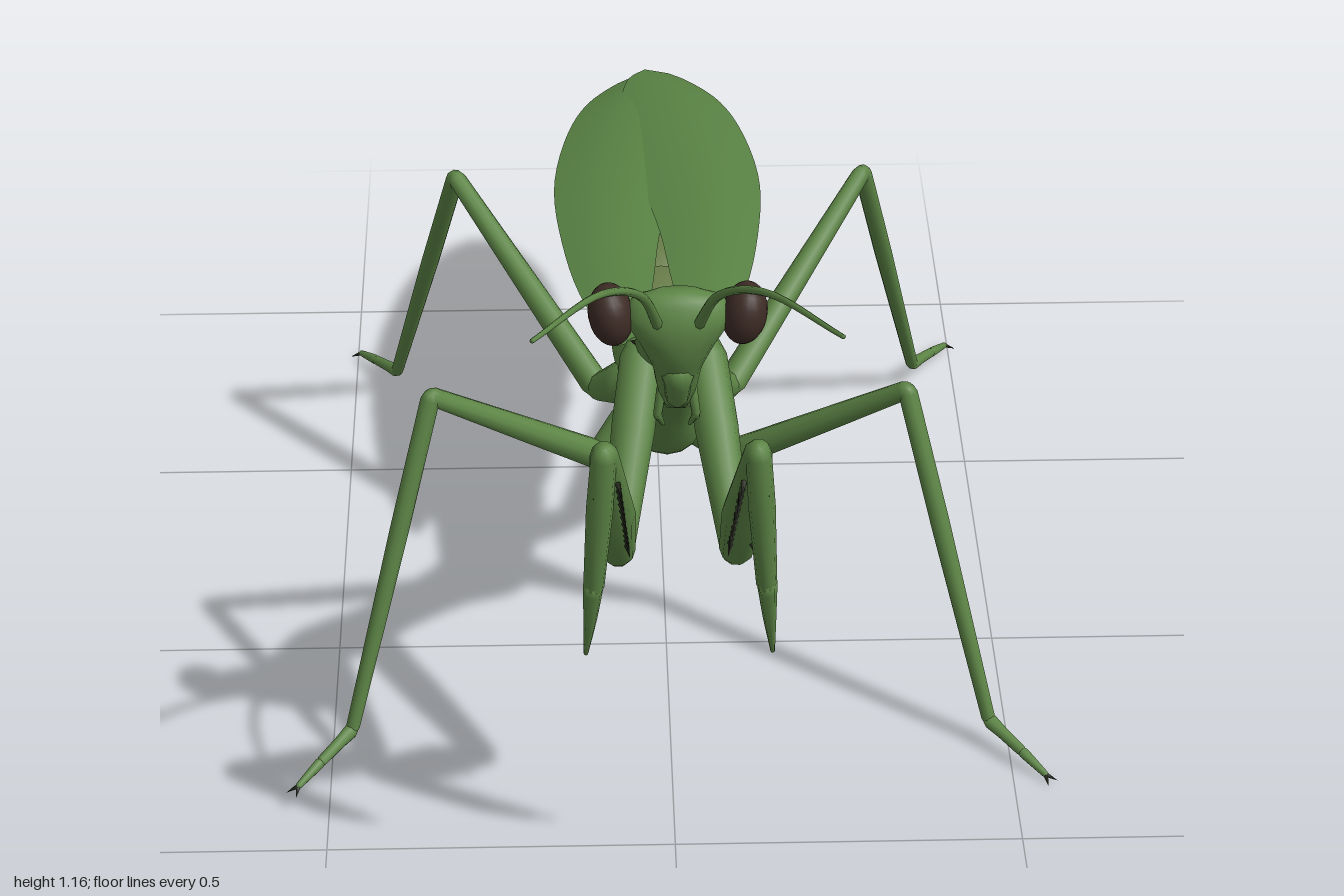
import * as THREE from 'three';

const mat = (name, color, side = THREE.FrontSide) => {
  const m = new THREE.MeshStandardMaterial({ color, side });
  m.name = name;
  return m;
};
const V = (x, y, z) => new THREE.Vector3(x, y, z);

// Closed tube through rings [x, y, z, halfWidth, halfHeight]
function sweep(rings, sides = 12, smooth = 0) {
  if (smooth) {
    const pos = new THREE.CatmullRomCurve3(rings.map(r => V(r[0], r[1], r[2])));
    const rad = new THREE.CatmullRomCurve3(rings.map(r => V(r[3], r[4] ?? r[3], 0)));
    rings = Array.from({ length: smooth + 1 }, (_, i) => {
      const p = pos.getPoint(i / smooth), q = rad.getPoint(i / smooth);
      return [p.x, p.y, p.z, Math.max(q.x, 0), Math.max(q.y, 0)];
    });
  }
  const n = rings.length, c = rings.map(r => V(r[0], r[1], r[2])), pts = [], idx = [];
  const ring = (p, s, u, a, b) => {
    for (let j = 0; j < sides; j++) {
      const t = j / sides * Math.PI * 2;
      const q = p.clone().addScaledVector(s, Math.cos(t) * a).addScaledVector(u, Math.sin(t) * b);
      pts.push(q.x, q.y, q.z);
    }
  };
  for (let i = 0; i < n; i++) {
    const t = c[Math.min(i + 1, n - 1)].clone().sub(c[Math.max(i - 1, 0)]).normalize();
    const s = V(1, 0, 0).addScaledVector(t, -t.x).normalize();
    ring(c[i], s, t.clone().cross(s), rings[i][3], rings[i][4] ?? rings[i][3]);
  }
  for (let i = 0; i < n - 1; i++) for (let j = 0; j < sides; j++) {
    const a = i * sides + j, b = i * sides + (j + 1) % sides;
    idx.push(a, b, a + sides, b, b + sides, a + sides);
  }
  // end caps
  for (const [i, flip] of [[0, true], [n - 1, false]]) {
    const k = pts.length / 3;
    pts.push(c[i].x, c[i].y, c[i].z);
    for (let j = 0; j < sides; j++) {
      const a = i * sides + j, b = i * sides + (j + 1) % sides;
      flip ? idx.push(k, b, a) : idx.push(k, a, b);
    }
  }
  const g = new THREE.BufferGeometry();
  g.setAttribute('position', new THREE.Float32BufferAttribute(pts, 3));
  g.setIndex(idx);
  g.computeVertexNormals();
  return g;
}

// Limb segment with rounded ends; mid swells the middle
function rod(a, b, r0, r1, mid = (r0 + r1) / 2, sides = 10) {
  const A = V(...a), B = V(...b), L = A.distanceTo(B), e0 = r0 / L, e1 = r1 / L;
  return sweep([[-e0 * 0.6, r0 * 0.3], [-e0 * 0.3, r0 * 0.75], [e0 * 0.4, r0], [0.4, mid],
    [1 - e1 * 0.4, r1], [1 + e1 * 0.3, r1 * 0.75], [1 + e1 * 0.6, r1 * 0.3]]
    .map(([t, r]) => [...V().lerpVectors(A, B, t).toArray(), r]), sides);
}

export function createModel() {
  const root = new THREE.Group();
  root.name = 'mantis';
  const green = mat('leafGreen', 0x5d8546);
  const wingGreen = mat('wingGreen', 0x598244, THREE.DoubleSide);
  const belly = mat('oliveBelly', 0x6b7f4b);
  const eye = mat('darkBrown', 0x3d2b25);
  const dark = mat('spineBlack', 0x24281b);
  const add = (name, geo, m, parent = root) => {
    const mesh = new THREE.Mesh(geo, m);
    mesh.name = name;
    parent.add(mesh);
    return mesh;
  };
  const spike = (name, base, dir, r, len, parent) => {
    const m = add(name, new THREE.ConeGeometry(r, len, 5), dark, parent);
    const d = V(...dir).normalize();
    m.quaternion.setFromUnitVectors(V(0, 1, 0), d);
    m.position.set(...base).addScaledVector(d, len / 2);
  };

  // Long raised thorax with a flare at the front-leg joints
  add('thorax', sweep([[0, 0.40, -0.01, 0.045, 0.04], [0, 0.435, 0.03, 0.055, 0.055], [0, 0.53, 0.12, 0.042, 0.042],
    [0, 0.66, 0.26, 0.042, 0.034], [0, 0.755, 0.36, 0.055, 0.04], [0, 0.80, 0.405, 0.052, 0.04],
    [0, 0.86, 0.47, 0.033, 0.032], [0, 0.90, 0.52, 0.028, 0.028], [0, 0.925, 0.56, 0.025, 0.025]], 16, 32), green);
  add('rearThorax', sweep([[0, 0.43, 0.06, 0.03, 0.03], [0, 0.435, 0.03, 0.055, 0.06], [0, 0.435, -0.06, 0.066, 0.066],
    [0, 0.43, -0.18, 0.078, 0.067], [0, 0.425, -0.22, 0.06, 0.05]], 16, 16), green);

  // Abdomen of overlapping plates
  const core = new THREE.CatmullRomCurve3([V(0.435, 0.066, 0.07), V(0.425, 0.085, 0.066), V(0.41, 0.105, 0.07),
    V(0.39, 0.104, 0.068), V(0.375, 0.08, 0.054), V(0.37, 0.03, 0.026)]);
  const SEG = 8;
  for (let i = 0; i < SEG; i++) {
    const at = (u, k) => {
      const q = core.getPoint(u);
      return [0, q.x, -0.1 - u * 0.86, q.y * k, q.z * k];
    };
    const u0 = i / SEG, du = 1 / SEG;
    add('abdomenSegment', sweep([at(u0, 0.92), at(u0 + du * 0.5, 0.97), at(u0 + du, 1.02),
      at(Math.min(u0 + du * 1.05, 1), 0.85)], 20), belly);
  }
  add('abdomenTip', sweep([[0, 0.37, -0.94, 0.036, 0.03], [0, 0.368, -0.965, 0.022, 0.022], [0, 0.367, -0.975, 0.008, 0.01]], 12), belly);

  // Head: broad crown narrowing to the mouth
  add('head', sweep([[0, 0.98, 0.575, 0.025, 0.012], [0, 0.968, 0.578, 0.06, 0.028], [0, 0.94, 0.578, 0.07, 0.04],
    [0, 0.90, 0.572, 0.05, 0.042], [0, 0.86, 0.562, 0.034, 0.034], [0, 0.82, 0.548, 0.028, 0.026],
    [0, 0.785, 0.533, 0.02, 0.018], [0, 0.77, 0.527, 0.006, 0.006]], 18, 24), green);
  add('mouthPlate', rod([0, 0.86, 0.588], [0, 0.80, 0.56], 0.022, 0.016), green);

  for (const s of [1, -1]) {
    const side = new THREE.Group();
    side.name = s > 0 ? 'leftSide' : 'rightSide';
    root.add(side);
    const m = p => [p[0] * s, p[1], p[2]];
    const limb = (name, a, b, r0, r1, mid, mt = green) => add(name, rod(m(a), m(b), r0, r1, mid), mt, side);

    // Eyes, antennae, mouthparts
    const e = add('eye', new THREE.SphereGeometry(1, 20, 14), eye, side);
    e.scale.set(0.03, 0.044, 0.036);
    e.position.set(0.088 * s, 0.943, 0.578);
    e.rotation.z = -0.15 * s;
    add('antenna', sweep([[0.025, 0.935, 0.60, 0.008], [0.05, 1.03, 0.68, 0.006], [0.105, 1.11, 0.81, 0.005],
      [0.188, 1.16, 1.0, 0.003]].map(p => [...m(p), p[3]]), 8, 20), green, side);
    limb('palp', [0.02, 0.81, 0.545], [0.026, 0.765, 0.545], 0.007, 0.006);
    limb('palpTip', [0.026, 0.765, 0.545], [0.018, 0.735, 0.52], 0.006, 0.003);
    limb('jaw', [0.012, 0.80, 0.54], [0.01, 0.765, 0.52], 0.01, 0.006);

    // Grasping front leg
    limb('frontCoxa', [0.042, 0.765, 0.375], [0.08, 0.56, 0.565], 0.03, 0.022, 0.03);
    limb('frontFemur', [0.08, 0.56, 0.57], [0.1, 0.835, 0.745], 0.024, 0.019, 0.031);
    limb('frontTibia', [0.1, 0.835, 0.748], [0.115, 0.60, 0.715], 0.017, 0.014, 0.018);
    add('frontClaw', sweep([[0.115, 0.61, 0.717, 0.014], [0.12, 0.54, 0.70, 0.009], [0.126, 0.47, 0.678, 0.003]]
      .map(p => [...m(p), p[3]]), 8, 8), green, side);
    for (let i = 0; i < 11; i++) {
      const t = i / 10;
      spike('tibiaSpine', m([0.104 + 0.018 * t, 0.77 - 0.25 * t, 0.725 - 0.035 * t]), [-0.2 * s, -0.35, -1], 0.004, 0.035 - 0.012 * t, side);
      for (const o of [-0.014, 0.014])
        spike('femurSpine', m([0.084 + 0.012 * t + o, 0.615 + 0.16 * t, 0.628 + 0.1 * t]), [o * 12 * s, -0.25, 1], 0.0045, 0.028, side);
    }

    // Walking legs: hip, thigh, shin, ankle, toe
    const legs = [
      ['middle', [0.03, 0.43, 0.0], [0.1, 0.37, 0.03], [0.342, 0.565, 0.17], [0.47, 0.05, 0.27], [0.515, 0.032, 0.325], [0.547, 0.015, 0.36]],
      ['hind', [0.04, 0.42, -0.1], [0.1, 0.37, -0.16], [0.315, 0.592, -0.425], [0.43, 0.05, -0.735], [0.468, 0.032, -0.8], [0.495, 0.015, -0.85]],
    ];
    for (const [n, hip, joint, knee, ankle, foot, toe] of legs) {
      limb(n + 'Coxa', hip, joint, 0.036, 0.023, 0.034);
      limb(n + 'Femur', joint, knee, 0.022, 0.014, 0.019);
      limb(n + 'Tibia', knee, ankle, 0.014, 0.01, 0.014);
      limb(n + 'Foot', ankle, foot, 0.011, 0.008, 0.009);
      limb(n + 'Toe', foot, toe, 0.008, 0.005, 0.007);
      const f = Math.sign(toe[2]);
      for (const o of [-1, 1]) spike(n + 'Claw', m(toe), [(0.7 + o * 0.5) * s, -0.6, f * (0.7 - o * 0.5)], 0.004, 0.02, side);
    }

    // Small thorns along the thorax, tail feelers
    for (let i = 0; i < 16; i++) {
      const t = i / 15;
      spike('thoraxThorn', m([0.039 + 0.012 * Math.max(0, t - 0.65) * 3, 0.565 + 0.22 * t, 0.155 + 0.235 * t]), [s, 0.2, -0.2], 0.004, 0.009, side);
    }
    spike('tailFeeler', m([0.02, 0.38, -0.95]), [0.3 * s, 0.2, -1], 0.006, 0.04, side);

    // Folded wing: shallow dome between an outer and an inner edge
    const edge = new THREE.CatmullRomCurve3([[0.072, 0.045, -0.05], [0.122, 0.018, -0.2], [0.153, 0, -0.4], [0.163, -0.03, -0.6],
      [0.137, -0.05, -0.8], [0.105, -0.05, -0.9], [0.06, -0.035, -0.97], [0.03, -0.01, -1.0]].map(p => V(...p)));
    const wing = new THREE.PlaneGeometry(1, 1, 10, 32), P = wing.attributes.position;
    for (let i = 0; i < P.count; i++) {
      const u = P.getX(i) + 0.5, v = 0.5 - P.getY(i), q = edge.getPoint(v);
      const x = q.y + (q.x - q.y) * u;
      const y = 0.518 + (q.z + 0.05) * 0.055 + 0.016 * Math.sin(Math.PI * u) * Math.sin(Math.PI * v) - 0.008 * u + (s > 0 ? 0.006 : 0);
      P.setXYZ(i, x * s, y, q.z);
    }
    // keep the upper face as the front on both sides
    if (s > 0) {
      const I = wing.index.array;
      for (let i = 0; i < I.length; i += 3) [I[i], I[i + 1]] = [I[i + 1], I[i]];
    }
    wing.computeVertexNormals();
    add('wing', wing, wingGreen, side);
  }
  return root;
}
